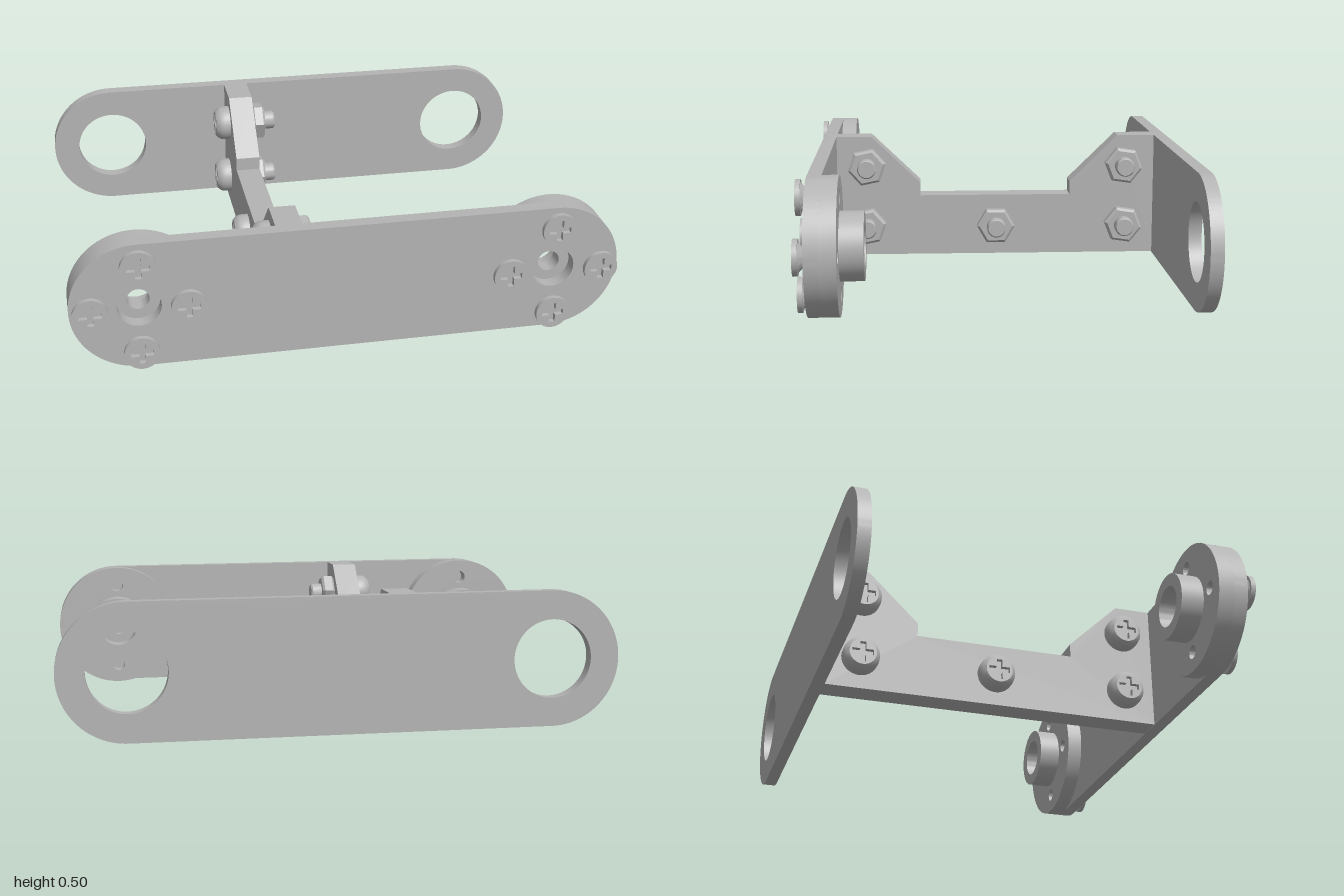
import * as THREE from 'three';
import { toCreasedNormals } from 'three/addons/utils/BufferGeometryUtils.js';

const R = 0.245;      // end radius of the plates
const END = 0.755;    // distance of the end centres from the middle
const grey = new THREE.MeshStandardMaterial({ color: 0xb4b4b4 });
grey.name = 'plain grey';

function mesh(name, geometry, parent, z = 0) {
  const m = new THREE.Mesh(toCreasedNormals(geometry, 0.5), grey);
  m.name = name;
  m.position.z = z;
  parent.add(m);
  return m;
}

const hole = (x, y, r) => new THREE.Path().absarc(x, y, r, 0, Math.PI * 2, true);
const disc = (r) => new THREE.Shape().absarc(0, 0, r, 0, Math.PI * 2, false);

function extrude(shape, depth, holes = [], curveSegments = 24) {
  shape.holes.push(...holes);
  return new THREE.ExtrudeGeometry(shape, { depth, bevelEnabled: false, curveSegments });
}

// Revolved profile of [radius, z] points, running along +z
function lathe(points, segments = 32) {
  return new THREE.LatheGeometry(points.map((p) => new THREE.Vector2(...p)), segments).rotateX(Math.PI / 2);
}

// Long plate with rounded ends and a hole at each end
function plate(holeRadius, depth) {
  const s = new THREE.Shape();
  s.absarc(END, 0, R, -Math.PI / 2, Math.PI / 2, false);
  s.absarc(-END, 0, R, Math.PI / 2, Math.PI * 1.5, false);
  s.closePath();
  return extrude(s, depth, [hole(END, 0, holeRadius), hole(-END, 0, holeRadius)], 40);
}

// Cross-shaped driver recess
function cross(a, w) {
  const pts = [];
  for (let i = 0; i < 4; i++) {
    const c = Math.round(Math.cos(i * Math.PI / 2)), s = Math.round(Math.sin(i * Math.PI / 2));
    for (const [x, y] of [[a, -w], [a, w], [w, w]]) pts.push(new THREE.Vector2(x * c - y * s, x * s + y * c));
  }
  return new THREE.Path(pts.reverse());
}

// Screw head: revolved side, recess floor and a flat top pierced by the cross
function screwHead(profile, parent, name) {
  const g = new THREE.Group();
  g.name = name;
  const [topR, topZ] = profile[profile.length - 1];
  const floor = topZ - 0.018;
  mesh('headSide', lathe([[0, 0], ...profile]), g);
  mesh('recessFloor', new THREE.CircleGeometry(topR * 0.9, 24), g, floor);
  const top = extrude(disc(topR), 0.018, [cross(0.04, 0.011)], 16);
  mesh('headTop', top, g, floor);
  parent.add(g);
  return g;
}

// Hex nut with rounded-off corners and the bolt end sticking out
function nutAndTip(parent) {
  const g = new THREE.Group();
  g.name = 'nutAndBoltEnd';
  const hex = (r) => Array.from({ length: 6 }, (_, i) =>
    new THREE.Vector2(r * Math.cos(i * Math.PI / 3), r * Math.sin(i * Math.PI / 3)));
  const nut = new THREE.ExtrudeGeometry(new THREE.Shape(hex(0.077)), {
    depth: 0.034, bevelEnabled: true, bevelThickness: 0.009, bevelSize: 0.009, bevelOffset: -0.009, bevelSegments: 1,
  });
  mesh('nut', nut, g, 0.009);
  mesh('boltEnd', lathe([[0.038, 0.03], [0.038, 0.09], [0.033, 0.097], [0, 0.097]], 24), g);
  parent.add(g);
  return g;
}

// Round horn: disc with screw holes and a bored hub facing backwards
function horn(parent, x) {
  const g = new THREE.Group();
  g.name = x > 0 ? 'leftHorn' : 'rightHorn';
  g.position.x = x;
  const spots = [0, 1, 2, 3].map((i) => [0.171 * Math.cos(i * Math.PI / 2), 0.171 * Math.sin(i * Math.PI / 2)]);
  const holes = [hole(0, 0, 0.04), ...spots.map(([px, py]) => hole(px, py, 0.026))];
  mesh('hornDisc', extrude(disc(R), 0.06, holes, 40), g, 0.565);
  mesh('hornHub', extrude(disc(0.122), 0.085, [hole(0, 0, 0.076)], 32), g, 0.48);
  for (const [px, py] of spots) {
    const s = screwHead([[0.03, 0], [0.063, 0.03], [0.063, 0.038]], g, 'countersunkScrew');
    s.position.set(px, py, 0.675);
  }
  parent.add(g);
}

export function createModel() {
  const model = new THREE.Group();
  model.name = 'bracketAssembly';
  // The whole bracket leans very slightly sideways
  const body = new THREE.Group();
  body.name = 'bracket';
  body.position.y = 0.251;
  body.rotation.z = -0.0083;
  model.add(body);

  mesh('frontPlate', plate(0.078, 0.05), body, 0.625);
  mesh('backPlate', plate(0.142, 0.048), body, -0.718);
  for (const x of [END, -END]) horn(body, x);

  // Web joining the two plates, cut low in the middle; drawn in (-z, y)
  const web = new THREE.Shape([
    [-0.63, -0.243], [0.672, -0.243], [0.672, 0.245], [0.52, 0.245], [0.325, 0.055], [0.325, 0.002],
    [-0.287, 0.002], [-0.287, 0.055], [-0.485, 0.245], [-0.63, 0.245],
  ].map((p) => new THREE.Vector2(...p)));
  const webMesh = mesh('web', extrude(web, 0.096).rotateY(Math.PI / 2), body);
  webMesh.position.x = -0.267;

  // Bolts through the web: domed heads on one side, nuts on the other
  const bolts = [[0.503, 0.125, 0.2], [0.503, -0.121, 0.2], [-0.02, -0.121, 0], [-0.543, 0.125, -0.15], [-0.543, -0.121, -0.15]];
  for (const [z, y, spin] of bolts) {
    const nut = nutAndTip(body);
    nut.position.set(-0.171, y, z);
    nut.rotation.set(0, Math.PI / 2, spin);
    const head = screwHead([[0.07, 0], [0.07, 0.022], [0.068, 0.036], [0.062, 0.048], [0.051, 0.058]], body, 'domedBoltHead');
    head.position.set(-0.267, y, z);
    head.rotation.y = -Math.PI / 2;
  }
  return model;
}
